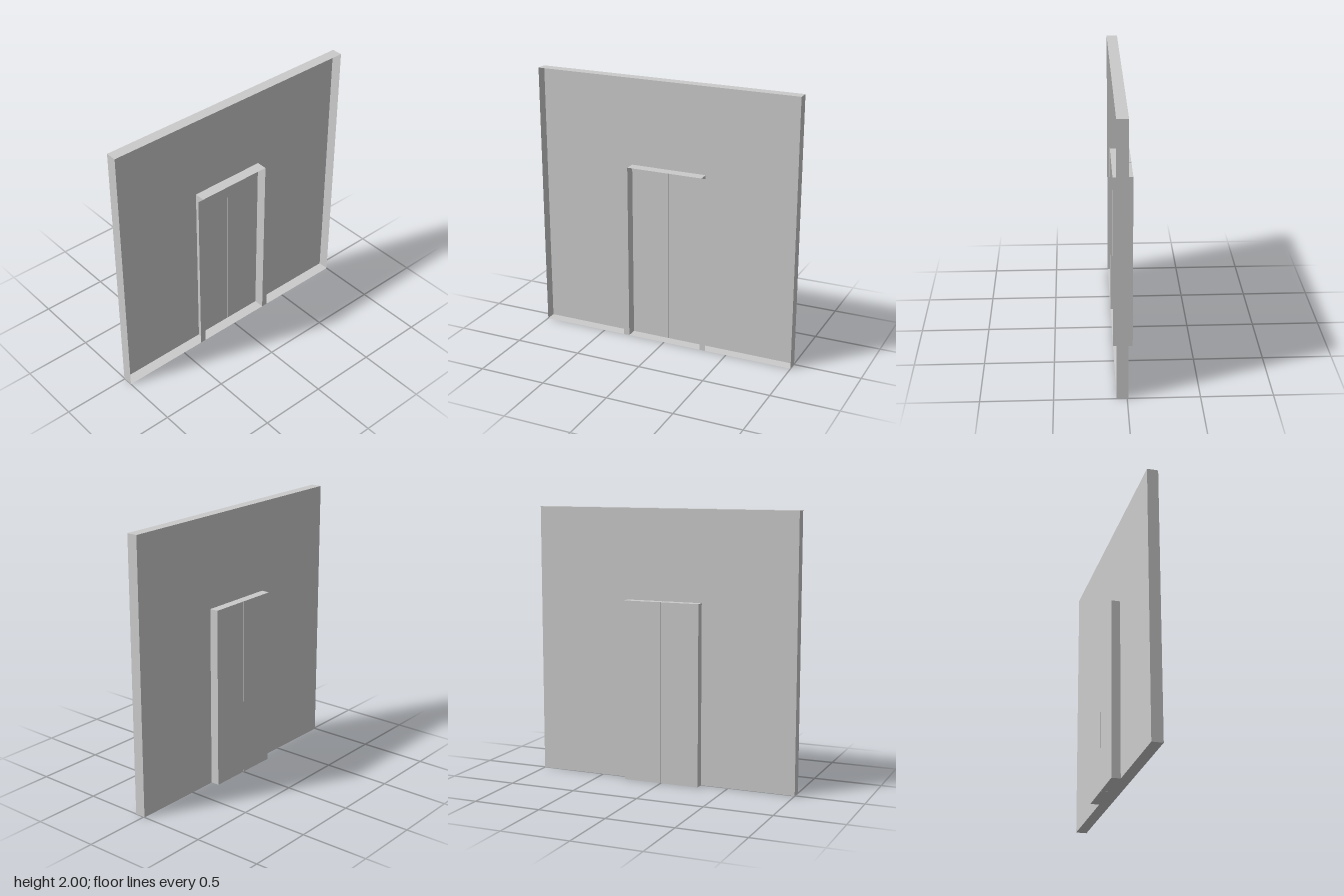
import * as THREE from 'three';

const FRONT = 0.072, BACK = -0.008, REAR = -0.073; // wall front, wall back, door rear
const DOOR_W = 0.29, DOOR_H = 1.335, TRIM = 0.044, GAP = 0.002;

export function createModel() {
  const group = new THREE.Group();
  const sheet = new THREE.MeshStandardMaterial({ color: 0xcccccc, flatShading: true, side: THREE.DoubleSide });
  const solid = new THREE.MeshStandardMaterial({ color: 0xcccccc, flatShading: true });
  const depth = FRONT - BACK, midZ = (FRONT + BACK) / 2;

  const add = (name, geometry, material, x, y, z) => {
    const mesh = new THREE.Mesh(geometry, material);
    mesh.name = name;
    mesh.position.set(x, y, z);
    group.add(mesh);
  };
  // Thin sheets facing along x, y and z
  const sideSheet = (h) => new THREE.PlaneGeometry(depth, h).rotateY(Math.PI / 2);
  const levelSheet = (w) => new THREE.PlaneGeometry(w, depth).rotateX(-Math.PI / 2);

  // Wall panel with the doorway cut out of its lower edge
  const outline = new THREE.Shape([
    [-1, 0], [-DOOR_W, 0], [-DOOR_W, DOOR_H], [DOOR_W, DOOR_H],
    [DOOR_W, 0], [1, 0], [1, 2], [-1, 2],
  ].map(([x, y]) => new THREE.Vector2(x, y)));
  add('wallPanel', new THREE.ShapeGeometry(outline), sheet, 0, 0, BACK);

  // Rim around the open front of the wall
  add('wallTop', levelSheet(2), sheet, 0, 2, midZ);
  add('wallBottom', levelSheet(2), sheet, 0, 0, midZ);

  // Lintel over the doorway
  add('doorLintel', levelSheet(2 * DOOR_W), sheet, 0, DOOR_H, midZ);

  // Mirrored wall ends, jambs, trim strips and sliding door leaves
  for (const [side, s] of [['left', 1], ['right', -1]]) {
    add(side + 'WallEnd', sideSheet(2), sheet, s, 1, midZ);
    add(side + 'DoorJamb', sideSheet(DOOR_H), sheet, s * DOOR_W, DOOR_H / 2, midZ);
    add(side + 'DoorTrim', new THREE.PlaneGeometry(TRIM, DOOR_H), sheet,
      s * (DOOR_W + TRIM / 2), DOOR_H / 2, FRONT);
    add(side + 'DoorLeaf', new THREE.BoxGeometry(DOOR_W - GAP, DOOR_H, BACK - REAR), solid,
      s * (DOOR_W + GAP) / 2, DOOR_H / 2, (BACK + REAR) / 2);
  }
  return group;
}
